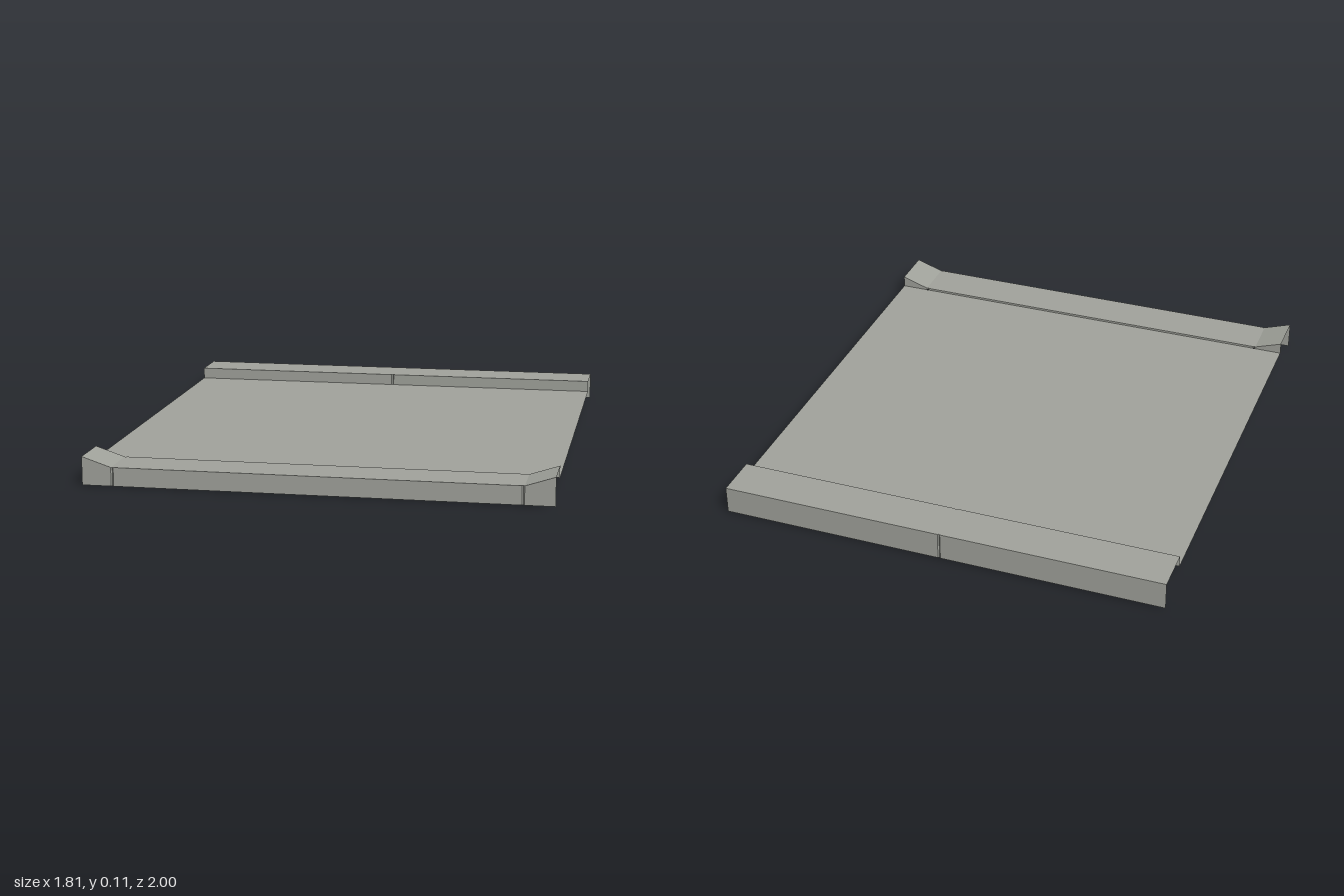
import * as THREE from 'three';

const HALF_WIDTH = 0.907, EDGE = 1, KERB = 0.82, ROAD_Y = 0.065, HIGH = 0.112, LOW = 0.074;

// Sweeps the open kerb section (outer wall, top, inner lip) through stations [x, top height, inset].
function kerbGeometry(stations, side) {
  const rows = stations.map(([x, top, inset]) => [
    [x, 0, side * (EDGE - inset)],
    [x, top, side * (EDGE - inset)],
    [x, top, side * (KERB + inset)],
    [x, ROAD_Y, side * (KERB + inset)],
  ]);
  const points = [];
  for (let i = 0; i < rows.length - 1; i++) {
    for (let j = 0; j < 3; j++) {
      const a = rows[i][j], b = rows[i + 1][j], c = rows[i + 1][j + 1], d = rows[i][j + 1];
      points.push(...(side > 0 ? [a, b, c, a, c, d] : [a, c, b, a, d, c]));
    }
  }
  const geometry = new THREE.BufferGeometry();
  geometry.setAttribute('position', new THREE.Float32BufferAttribute(points.flat(), 3));
  geometry.computeVertexNormals();
  return geometry;
}

// A shallow vertical joint between two kerb stones.
const joint = (x, top) => [[x - 0.005, top, 0], [x, top, 0.004], [x + 0.005, top, 0]];

export function createModel() {
  const model = new THREE.Group();
  model.name = 'pavingSection';
  const concrete = new THREE.MeshStandardMaterial({ color: 0xa0a29b, side: THREE.DoubleSide });
  concrete.name = 'concrete';

  const add = (name, geometry) => {
    const mesh = new THREE.Mesh(geometry, concrete);
    mesh.name = name;
    model.add(mesh);
    return mesh;
  };

  // Flat roadway between the kerbs
  const road = add('roadway', new THREE.PlaneGeometry(2 * HALF_WIDTH, 2 * KERB).rotateX(-Math.PI / 2));
  road.position.y = ROAD_Y;

  // Full-height kerb with a joint in the middle
  add('backKerb', kerbGeometry(
    [[-HALF_WIDTH, HIGH, 0], ...joint(0, HIGH), [HALF_WIDTH, HIGH, 0]], -1));

  // Dropped kerb that ramps up at both ends
  add('frontDroppedKerb', kerbGeometry(
    [[-HALF_WIDTH, HIGH, 0], ...joint(-0.787, LOW), ...joint(0.787, LOW), [HALF_WIDTH, HIGH, 0]], 1));

  return model;
}
